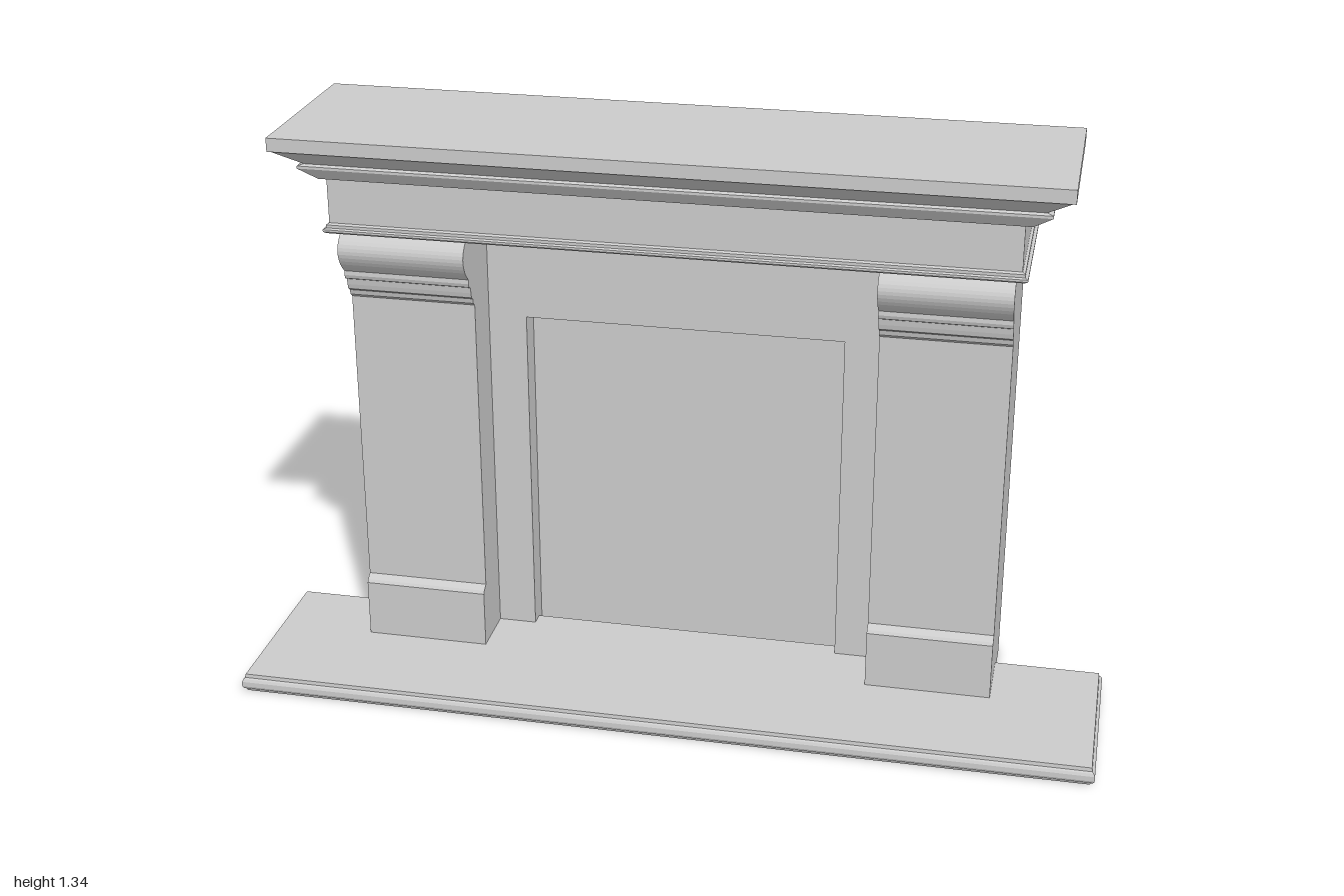
import * as THREE from 'three';

const BACK = -0.279, PANEL = -0.11, FIREBACK = -0.17;
const HEARTH_TOP = 0.045, BODY_TOP = 1.105;
const HALF = 0.756, INNER = 0.463, OPENING = 0.373;

const material = new THREE.MeshStandardMaterial({ color: 0xcccccc, flatShading: true });

function add(parent, name, geometry) {
  const mesh = new THREE.Mesh(geometry, material);
  mesh.name = name;
  parent.add(mesh);
  return mesh;
}

// Stacked rectangles joined into a closed solid; each level is [y, halfWidth, zBack, zFront]
function rectLoft(levels) {
  const pos = [], idx = [];
  for (const [y, w, zb, zf] of levels) pos.push(-w, y, zf, w, y, zf, w, y, zb, -w, y, zb);
  for (let i = 0; i < levels.length - 1; i++) {
    for (let k = 0; k < 4; k++) {
      const a = i * 4 + k, b = i * 4 + (k + 1) % 4;
      idx.push(a, b, b + 4, a, b + 4, a + 4);
    }
  }
  const t = (levels.length - 1) * 4;
  idx.push(0, 2, 1, 0, 3, 2, t, t + 1, t + 2, t, t + 2, t + 3);
  const g = new THREE.BufferGeometry();
  g.setAttribute('position', new THREE.Float32BufferAttribute(pos, 3));
  g.setIndex(idx);
  const flat = g.toNonIndexed();
  flat.computeVertexNormals();
  return flat;
}

// Side profile of [z, y] points, extruded from x0 to x1
function sideExtrude(points, x0, x1) {
  const shape = new THREE.Shape(points.map(([z, y]) => new THREE.Vector2(-z, y)));
  const g = new THREE.ExtrudeGeometry(shape, { depth: x1 - x0, bevelEnabled: false });
  g.rotateY(Math.PI / 2);
  g.translate(x0, 0, 0);
  return g;
}

export function createModel() {
  const root = new THREE.Group();
  root.name = 'fireplace';

  // Hearth slab with a rounded, stepped edge all round
  const hearthProfile = [[0, 0.01], [0.006, 0.007], [0.009, 0.003], [0.015, 0], [0.027, 0],
    [0.033, 0.003], [0.036, 0.007], [0.045, 0.008]];
  add(root, 'hearth', rectLoft(hearthProfile.map(([y, i]) => [y, 1 - i, -0.153 + i, 0.279 - i])));

  const surround = new THREE.Group();
  surround.name = 'surround';
  surround.position.x = -0.01;
  root.add(surround);

  // Solid back wall, visible inside the firebox
  const back = add(surround, 'backWall',
    new THREE.BoxGeometry(INNER * 2, BODY_TOP, FIREBACK - BACK));
  back.position.set(0, BODY_TOP / 2, (FIREBACK + BACK) / 2);

  // Recessed front panel cut out around the fire opening
  const panel = new THREE.Shape([
    [-INNER, 0], [-OPENING, 0], [-OPENING, 0.857], [OPENING, 0.857],
    [OPENING, 0], [INNER, 0], [INNER, BODY_TOP], [-INNER, BODY_TOP],
  ].map(([x, y]) => new THREE.Vector2(x, y)));
  add(surround, 'openingPanel',
    new THREE.ExtrudeGeometry(panel, { depth: PANEL - FIREBACK, bevelEnabled: false }))
    .position.z = FIREBACK;

  // Pilasters: plinth block, plain shaft and scrolled corbel in one profile
  const scroll = new THREE.SplineCurve([
    [0.04, 0.998], [0.062, 1.02], [0.075, 1.046], [0.073, 1.068], [0.058, 1.087], [0.034, BODY_TOP],
  ].map(([z, y]) => new THREE.Vector2(z, y))).getPoints(14).map((p) => [p.x, p.y]);
  const pilaster = [
    [BACK, 0], [0.02, 0], [0.02, 0.183], [0.015, 0.19], [0, 0.2], [0, 0.922],
    [0.01, 0.93], [0.013, 0.942], [0.022, 0.948], [0.025, 0.96], [0.027, 0.974],
    [0.038, 0.979], [0.041, 0.988], ...scroll, [BACK, BODY_TOP],
  ];
  add(surround, 'rightPilaster', sideExtrude(pilaster, -HALF, -INNER));
  add(surround, 'leftPilaster', sideExtrude(pilaster, INNER, HALF));

  // Architrave bead, frieze, crown moulding and shelf, all flush at the back
  const stack = (name, levels) =>
    add(surround, name, rectLoft(levels.map(([y, w, z]) => [y, w, BACK, z])));
  stack('bead', [[1.103, 0.775, 0.086], [1.107, 0.782, 0.09], [1.112, 0.782, 0.09],
    [1.115, 0.775, 0.085], [1.122, 0.775, 0.085], [1.126, 0.769, 0.08]]);
  stack('frieze', [[1.12, 0.769, 0.08], [1.235, 0.769, 0.08]]);
  stack('crown', [[1.23, 0.785, 0.088], [1.257, 0.826, 0.107], [1.263, 0.826, 0.107],
    [1.267, 0.812, 0.1], [1.31, 0.868, 0.158]]);
  stack('shelf', [[1.309, 0.872, 0.16], [1.34, 0.872, 0.16]]);

  // Filler closing the underside of the frieze above the recessed panel
  const soffit = add(surround, 'soffit', new THREE.BoxGeometry(HALF * 2, 0.01, 0.3));
  soffit.position.set(0, 1.112, -0.12);

  return root;
}
